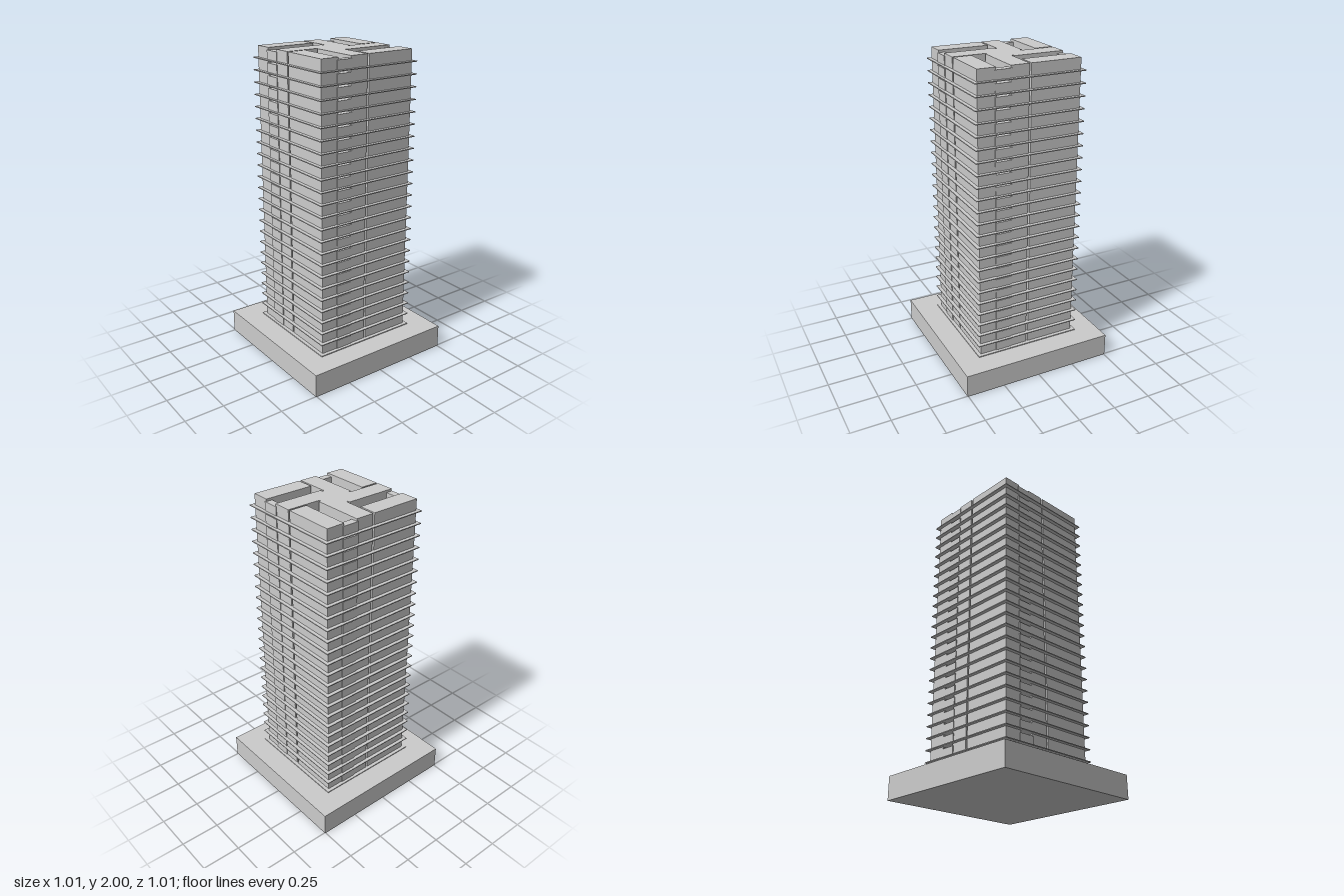
import * as THREE from 'three';

const FLOORS = 24, BASE = 0.15, STEP = (2 - BASE) / FLOORS, SLAB = 0.006;
const WALL = 0.333;            // half width of the tower walls
const SLIT = 0.006;            // half width of the facade slits
const SLIT_END = 0.114;        // centre of the rounded slit end
const PIT_IN = 0.125, PIT_OUT = 0.215;

// Quarter turn of a plan point [x, z]
const turn = ([x, z], n) => {
  for (let i = 0; i < n; i++) [x, z] = [z, -x];
  return [x, z];
};

// Pinwheel plan: one arm with its rounded slit end, repeated four times
function pinwheelPlan() {
  const arm = [[-PIT_IN, SLIT], [-PIT_IN, WALL], [-SLIT, WALL]];
  for (let i = 0; i <= 6; i++) {
    const a = Math.PI * i / 6;
    arm.push([-SLIT * Math.cos(a), SLIT_END - SLIT * Math.sin(a)]);
  }
  const points = [];
  for (let n = 0; n < 4; n++) {
    for (const p of arm) {
      const [x, z] = turn(p, n);
      points.push(new THREE.Vector2(x, -z));
    }
  }
  return new THREE.Shape(points);
}

export function createModel() {
  const group = new THREE.Group();
  const material = new THREE.MeshStandardMaterial({ color: 0xcccccc, flatShading: true });
  const add = (parent, name, geometry, x, y, z) => {
    const mesh = new THREE.Mesh(geometry, material);
    mesh.name = name;
    mesh.position.set(x, y, z);
    parent.add(mesh);
    return mesh;
  };

  // Podium
  add(group, 'podium', new THREE.BoxGeometry(1.01, BASE, 1.01), 0, BASE / 2, 0);

  // Geometry shared by all floors
  const wallHeight = STEP - SLAB;
  const panelHeight = wallHeight - 0.015;
  const slab = new THREE.BoxGeometry(0.712, SLAB, 0.712);
  const core = new THREE.ExtrudeGeometry(pinwheelPlan(), { depth: wallHeight, bevelEnabled: false });
  core.rotateX(-Math.PI / 2);
  const corner = new THREE.BoxGeometry(WALL - PIT_OUT, wallHeight, WALL - SLIT);
  const panel = new THREE.BoxGeometry(0.108, panelHeight, 0.046);

  for (let f = 0; f < FLOORS; f++) {
    const floor = new THREE.Group();
    floor.name = 'floor' + (f + 1);
    floor.position.y = BASE + f * STEP;
    group.add(floor);
    add(floor, 'floorSlab', slab, 0, SLAB / 2, 0);
    add(floor, 'pinwheelCore', core, 0, SLAB, 0);

    // Corner block and recess panel on each side
    for (let n = 0; n < 4; n++) {
      const side = new THREE.Group();
      side.name = 'side' + (n + 1);
      side.rotation.y = n * Math.PI / 2;
      floor.add(side);
      add(side, 'cornerBlock', corner, -(WALL + PIT_OUT) / 2, SLAB + wallHeight / 2, (WALL + SLIT) / 2);
      add(side, 'recessPanel', panel, -(PIT_IN + PIT_OUT) / 2, SLAB + panelHeight / 2, 0.315);
    }
  }
  return group;
}
